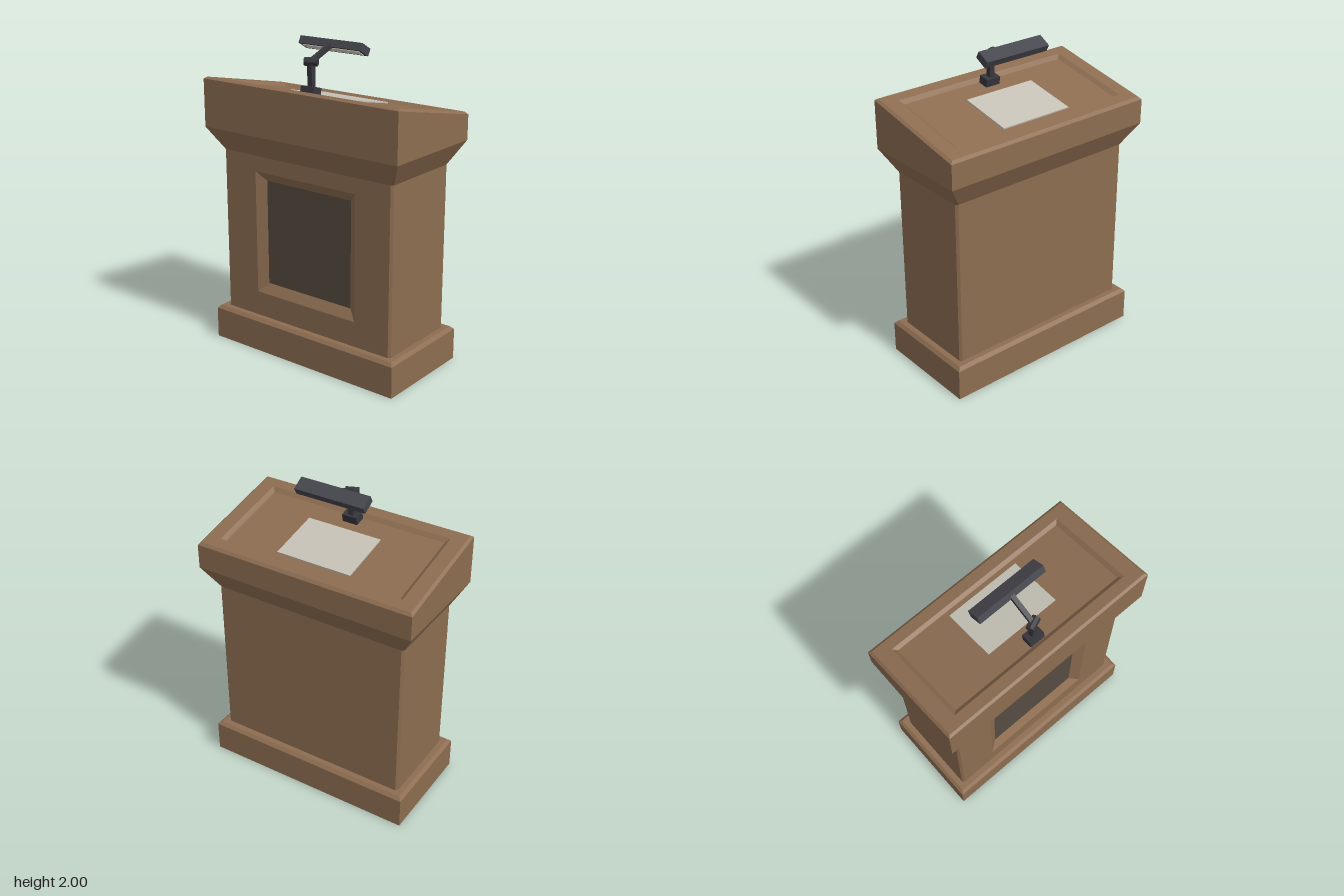
import * as THREE from 'three';

const mat = (name, color) => {
  const m = new THREE.MeshStandardMaterial({ color });
  m.name = name;
  return m;
};

// Eight-point ring: half width, half depth, height, corner chamfer, slope of height along z
function ring(w, d, y, c = 0, slope = 0) {
  return [
    [-w + c, d], [w - c, d], [w, d - c], [w, -d + c],
    [w - c, -d], [-w + c, -d], [-w, -d + c], [-w, d - c],
  ].map(([x, z]) => new THREE.Vector3(x, y + slope * z, z));
}

// Flat-faced skin over stacked rings, with optional caps and one side left open
function loft(rings, { bottom = false, top = false, skip = -1 } = {}) {
  const pos = [];
  const tri = (a, b, c) => {
    const area = b.clone().sub(a).cross(c.clone().sub(a)).length();
    if (area > 1e-9) for (const p of [a, b, c]) pos.push(p.x, p.y, p.z);
  };
  for (let r = 0; r < rings.length - 1; r++) {
    for (let i = 0; i < 8; i++) {
      if (i === skip) continue;
      const j = (i + 1) % 8, lo = rings[r], hi = rings[r + 1];
      tri(lo[i], lo[j], hi[j]);
      tri(lo[i], hi[j], hi[i]);
    }
  }
  const first = rings[0], last = rings[rings.length - 1];
  for (let i = 1; i < 7; i++) {
    if (bottom) tri(first[0], first[i + 1], first[i]);
    if (top) tri(last[0], last[i], last[i + 1]);
  }
  const g = new THREE.BufferGeometry();
  g.setAttribute('position', new THREE.Float32BufferAttribute(pos, 3));
  g.computeVertexNormals();
  return g;
}

export function createModel() {
  const model = new THREE.Group();
  model.name = 'lectern';
  const wood = mat('brown wood', 0x8d6d51);
  const panelMat = mat('dark panel', 0x564d41);
  const paperMat = mat('pale paper', 0xc6c2b7);
  const lampMat = mat('lamp metal', 0x45454d);
  const armMat = mat('arm metal', 0x36363d);
  const glowMat = mat('lamp diffuser', 0xdedccb);

  const add = (name, geo, material, parent = model) => {
    const m = new THREE.Mesh(geo, material);
    m.name = name;
    parent.add(m);
    return m;
  };

  // Plinth with a bevelled upper edge
  add('plinth', loft([
    ring(0.70, 0.34, 0), ring(0.70, 0.34, 0.2), ring(0.68, 0.32, 0.22),
  ], { bottom: true, top: true }), wood);

  // Column with chamfered corners, open at the front for the framed panel
  const W = 0.645, D = 0.285, C = 0.014;
  add('column', loft([ring(W, D, 0.22, C), ring(W, D, 1.28, C)], { skip: 0 }), wood);

  const rect = (Kind, x, y0, y1) => {
    const p = new Kind();
    p.moveTo(-x, y0).lineTo(x, y0).lineTo(x, y1).lineTo(-x, y1).closePath();
    return p;
  };
  const front = rect(THREE.Shape, W - C, 0.22, 1.28);
  front.holes.push(rect(THREE.Path, 0.385, 0.38, 1.18));
  add('columnFront', new THREE.ShapeGeometry(front), wood).position.z = D;

  // Sloping frame around the recessed front panel
  const depth = 0.04;
  const frame = loft([ring(0.385, 0.40, 0), ring(0.325, 0.34, -depth)]).rotateX(Math.PI / 2);
  add('panelFrame', frame, wood).position.set(0, 0.78, D);
  add('frontPanel', new THREE.PlaneGeometry(0.65, 0.68), panelMat).position.set(0, 0.78, D - depth);

  // Flared neck and sloped desk with a shallow tray
  const S = 0.205, tilt = -Math.atan(S);
  add('neck', loft([ring(W, D, 1.28, C), ring(0.727, 0.362, 1.425)]), wood);
  add('desk', loft([
    ring(0.727, 0.362, 1.425),
    ring(0.727, 0.362, 1.655, 0, S),
    ring(0.711, 0.346, 1.669, 0, S),
    ring(0.62, 0.277, 1.669, 0, S),
    ring(0.595, 0.254, 1.649, 0, S),
  ], { top: true }), wood);

  // Sheet lying in the tray
  const onDesk = (mesh, z, lift) => {
    mesh.position.set(0, 1.649 + S * z + lift, z);
    mesh.rotation.x = tilt;
  };
  onDesk(add('paper', new THREE.BoxGeometry(0.496, 0.008, 0.347), paperMat), -0.05, 0.005);

  // Reading lamp: foot, post, hinge and arm
  const lamp = new THREE.Group();
  lamp.name = 'readingLamp';
  model.add(lamp);
  onDesk(add('lampFoot', new THREE.BoxGeometry(0.1, 0.05, 0.07), armMat, lamp), 0.212, 0.028);

  const bar = (name, y0, z0, y1, z1, w) => {
    const b = add(name, new THREE.BoxGeometry(w, Math.hypot(y1 - y0, z1 - z0), w), armMat, lamp);
    b.position.set(0, (y0 + y1) / 2, (z0 + z1) / 2);
    b.rotation.x = Math.atan2(z1 - z0, y1 - y0);
  };
  bar('lampPost', 1.72, 0.205, 1.895, 0.205, 0.034);
  bar('lampArm', 1.895, 0.205, 1.972, 0.005, 0.028);

  const hinge = new THREE.CylinderGeometry(0.026, 0.026, 0.08, 8).toNonIndexed();
  hinge.computeVertexNormals();
  hinge.rotateX(Math.PI / 8).rotateZ(Math.PI / 2);
  add('lampHinge', hinge, armMat, lamp).position.set(0, 1.892, 0.205);

  // Tilted lamp head with a light strip underneath
  const head = new THREE.Group();
  head.name = 'lampHead';
  head.position.set(0, 1.9575, -0.007);
  head.rotation.x = -0.512;
  lamp.add(head);
  add('lampShade', new THREE.BoxGeometry(0.464, 0.047, 0.09), lampMat, head);
  add('lightStrip', new THREE.BoxGeometry(0.42, 0.006, 0.056), glowMat, head).position.y = -0.0235;

  return model;
}
